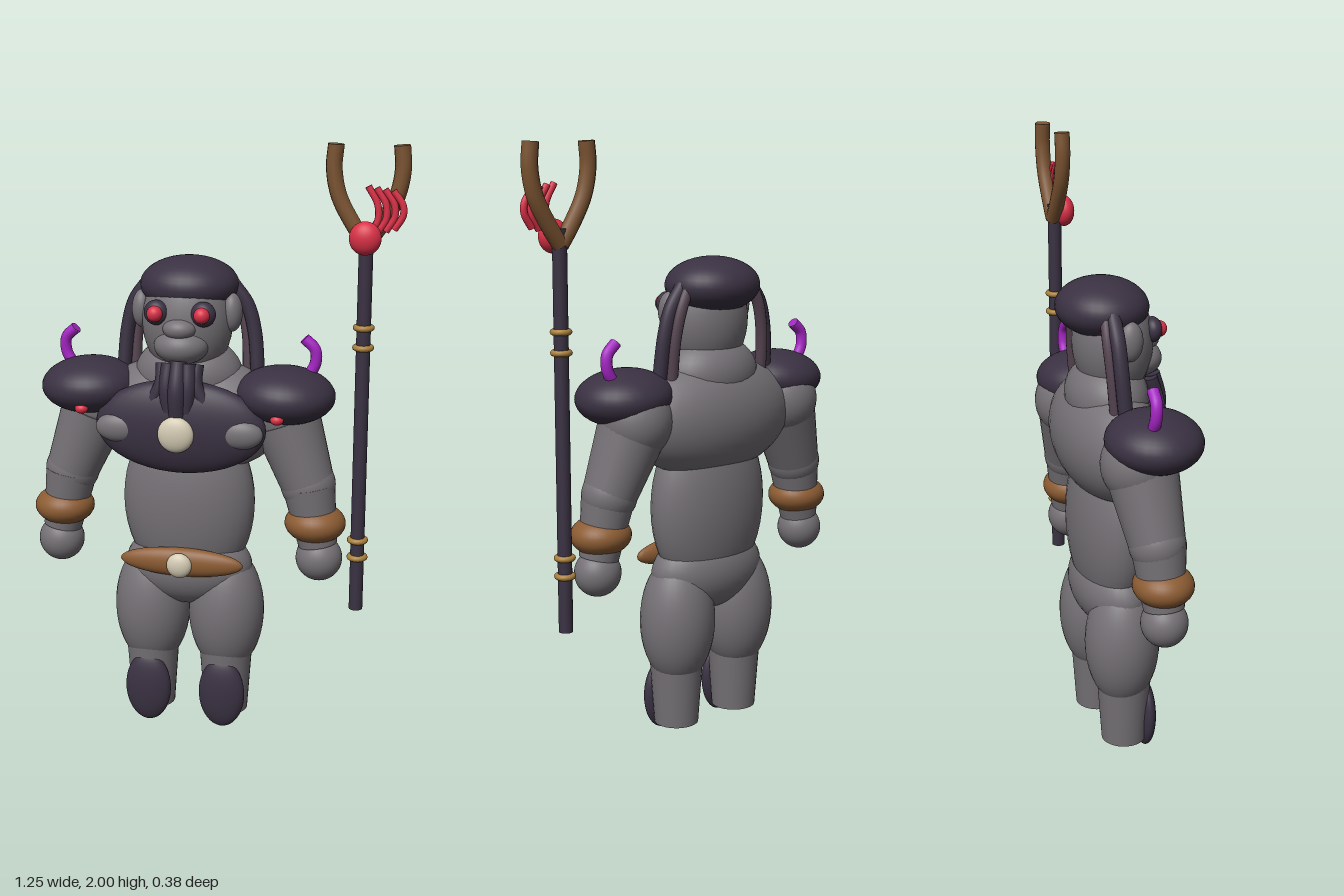
import * as THREE from 'three';

const CX = -0.09; // middle of the body; the staff stands off to one side

function mat(name, color) {
  const m = new THREE.MeshStandardMaterial({ color });
  m.name = name;
  return m;
}

export function createModel() {
  const skin = mat('grey skin', 0x757176);
  const dark = mat('dark armour', 0x3a3142);
  const leather = mat('brown leather', 0x8c5c33);
  const wood = mat('brown wood', 0x7a5331);
  const red = mat('red', 0xd93046);
  const bone = mat('bone', 0xd2c9b2);
  const purple = mat('purple', 0xa525c4);
  const gold = mat('gold', 0xa9803c);
  const mauve = mat('mauve hair', 0x54434f);

  const root = new THREE.Group();
  root.name = 'staffBearer';

  function add(parent, name, geo, material, pos = [0, 0, 0]) {
    const m = new THREE.Mesh(geo, material);
    m.name = name;
    m.position.set(...pos);
    parent.add(m);
    return m;
  }
  function blob(parent, name, material, pos, radii) {
    const geo = new THREE.SphereGeometry(1, 32, 22).scale(...radii);
    return add(parent, name, geo, material, pos);
  }
  // round tube through points, closed with a flat disc at each end
  function tube(parent, name, material, points, r) {
    const g = new THREE.Group();
    g.name = name;
    const curve = new THREE.CatmullRomCurve3(points.map(p => new THREE.Vector3(...p)));
    add(g, name + 'Tube', new THREE.TubeGeometry(curve, 24, r, 12), material);
    for (const t of [0, 1]) {
      const end = curve.getPointAt(t);
      const dir = curve.getTangentAt(t).multiplyScalar(t ? 1 : -1);
      const cap = add(g, name + 'Cap', new THREE.CircleGeometry(r, 12), material, end.toArray());
      cap.quaternion.setFromUnitVectors(new THREE.Vector3(0, 0, 1), dir);
    }
    parent.add(g);
    return g;
  }
  // tapered limb between two points
  function limb(parent, name, material, a, b, ra, rb) {
    const A = new THREE.Vector3(...a), B = new THREE.Vector3(...b);
    const d = A.clone().sub(B);
    const m = add(parent, name, new THREE.CylinderGeometry(ra, rb, d.length(), 32),
      material, A.clone().add(B).multiplyScalar(0.5).toArray());
    m.quaternion.setFromUnitVectors(new THREE.Vector3(0, 1, 0), d.normalize());
    return m;
  }

  const body = new THREE.Group();
  body.name = 'body';
  body.position.x = CX;
  root.add(body);

  // Torso
  blob(body, 'pelvis', skin, [0, 0.57, -0.02], [0.22, 0.14, 0.125]);
  blob(body, 'abdomen', skin, [0, 0.8, -0.025], [0.226, 0.32, 0.127]);
  blob(body, 'chest', skin, [0, 1.1, -0.035], [0.33, 0.2, 0.158]);
  blob(body, 'neck', skin, [0, 1.24, -0.03], [0.18, 0.13, 0.13]);

  // Chest plate and medallion
  blob(body, 'chestPlate', dark, [0, 1.09, 0.1], [0.285, 0.157, 0.063]);
  blob(body, 'medallion', bone, [0, 1.08, 0.165], [0.06, 0.06, 0.027]);

  // Belt
  blob(body, 'belt', leather, [0, 0.615, 0.095], [0.21, 0.05, 0.032]);
  blob(body, 'buckle', bone, [0, 0.615, 0.13], [0.043, 0.043, 0.024]);

  // Head
  blob(body, 'head', skin, [0, 1.42, -0.01], [0.15, 0.19, 0.128]);
  blob(body, 'hairCap', dark, [0, 1.535, -0.045], [0.163, 0.093, 0.148]);
  blob(body, 'muzzle', skin, [0, 1.355, 0.075], [0.09, 0.06, 0.078]);
  blob(body, 'nose', skin, [0, 1.415, 0.1], [0.055, 0.036, 0.046]);

  // Middle of the beard
  tube(body, 'middleBeard', dark, [[0, 1.31, 0.115], [0, 1.22, 0.145], [0, 1.13, 0.14]], 0.03);

  for (const s of [-1, 1]) {
    const side = new THREE.Group();
    side.name = s > 0 ? 'leftSide' : 'rightSide';
    body.add(side);

    // Leg
    blob(side, 'thigh', skin, [s * 0.13, 0.41, -0.022], [0.13, 0.225, 0.124]);
    limb(side, 'shin', skin, [s * 0.13, 0.33, -0.015], [s * 0.13, 0.045, -0.015], 0.095, 0.075);
    blob(side, 'boot', dark, [s * 0.13, 0.127, 0.057], [0.08, 0.125, 0.034]);

    // Arm
    blob(side, 'shoulder', skin, [s * 0.32, 1.12, -0.045], [0.12, 0.125, 0.118]);
    limb(side, 'upperArm', skin, [s * 0.33, 1.09, -0.035], [s * 0.405, 0.89, -0.015], 0.114, 0.09);
    blob(side, 'elbow', skin, [s * 0.407, 0.885, -0.015], [0.092, 0.092, 0.09]);
    limb(side, 'forearm', skin, [s * 0.41, 0.88, -0.012], [s * 0.445, 0.68, -0.005], 0.088, 0.065);
    blob(side, 'bracer', leather, [s * 0.435, 0.755, -0.004], [0.102, 0.066, 0.097]);
    blob(side, 'hand', skin, [s * 0.45, 0.632, -0.005], [0.078, 0.078, 0.075]);

    // Shoulder pad with gem and horn
    const pad = blob(side, 'shoulderPad', dark, [s * 0.33, 1.192, 0.003], [0.164, 0.093, 0.153]);
    pad.rotation.z = -s * 0.04;
    blob(side, 'padGem', red, [s * 0.325, 1.14, 0.13], [0.022, 0.017, 0.02]);
    tube(side, 'padHorn', purple, [[s * 0.4, 1.25, -0.03], [s * 0.422, 1.295, -0.03],
      [s * 0.42, 1.34, -0.028], [s * 0.385, 1.375, -0.026]], 0.019);

    // Bare patch on the chest plate
    blob(side, 'chestPatch', skin, [s * 0.203, 1.082, 0.122], [0.076, 0.05, 0.035]);

    // Face
    blob(side, 'ear', skin, [s * 0.15, 1.455, -0.005], [0.034, 0.064, 0.04]);
    blob(side, 'eyeSocket', dark, [s * 0.077, 1.465, 0.096], [0.041, 0.041, 0.03]);
    blob(side, 'eye', red, [s * 0.077, 1.465, 0.12], [0.026, 0.026, 0.024]);

    // Hair strands
    tube(side, 'outerStrand', dark, [[s * 0.14, 1.54, -0.06], [s * 0.19, 1.47, -0.062],
      [s * 0.215, 1.38, -0.06], [s * 0.228, 1.24, -0.05]], 0.024);
    tube(side, 'innerStrand', mauve, [[s * 0.13, 1.54, -0.08], [s * 0.165, 1.47, -0.085],
      [s * 0.187, 1.37, -0.08], [s * 0.193, 1.24, -0.07]], 0.02);

    // Beard strands
    tube(side, 'innerBeard', dark, [[s * 0.032, 1.305, 0.115], [s * 0.035, 1.23, 0.135],
      [s * 0.028, 1.15, 0.135]], 0.026);
    tube(side, 'outerBeard', dark, [[s * 0.058, 1.3, 0.1], [s * 0.058, 1.24, 0.12],
      [s * 0.085, 1.18, 0.125]], 0.022);
  }

  // Staff
  const staff = new THREE.Group();
  staff.name = 'staff';
  staff.position.set(0.488, 0, -0.004);
  root.add(staff);
  add(staff, 'staffPole', new THREE.CylinderGeometry(0.023, 0.023, 1.28, 24), dark, [0, 1.1, 0]);
  for (const y of [0.645, 0.705, 1.36, 1.425]) {
    const ring = new THREE.TorusGeometry(0.025, 0.01, 10, 28).rotateX(Math.PI / 2);
    add(staff, 'staffRing', ring, gold, [0, y, 0]);
  }
  for (const s of [-1, 1]) {
    tube(staff, 'forkProng', wood, [[0, 1.69, -0.005], [s * 0.045, 1.755, -0.005],
      [s * 0.09, 1.84, -0.005], [s * 0.107, 1.925, -0.005], [s * 0.102, 2, -0.005]], 0.026);
  }
  blob(staff, 'staffOrb', red, [0, 1.715, 0.032], [0.051, 0.053, 0.036]);
  for (let i = 0; i < 4; i++) {
    const x = i * 0.026, y = i * 0.006;
    tube(staff, 'flame', red, [[0.01 + x, 1.725 + y, 0.018], [0.036 + x, 1.77 + y, 0.018],
      [0.034 + x, 1.82, 0.018], [0.004 + x, 1.875 - i * 0.004, 0.018]], 0.011);
  }
  return root;
}
